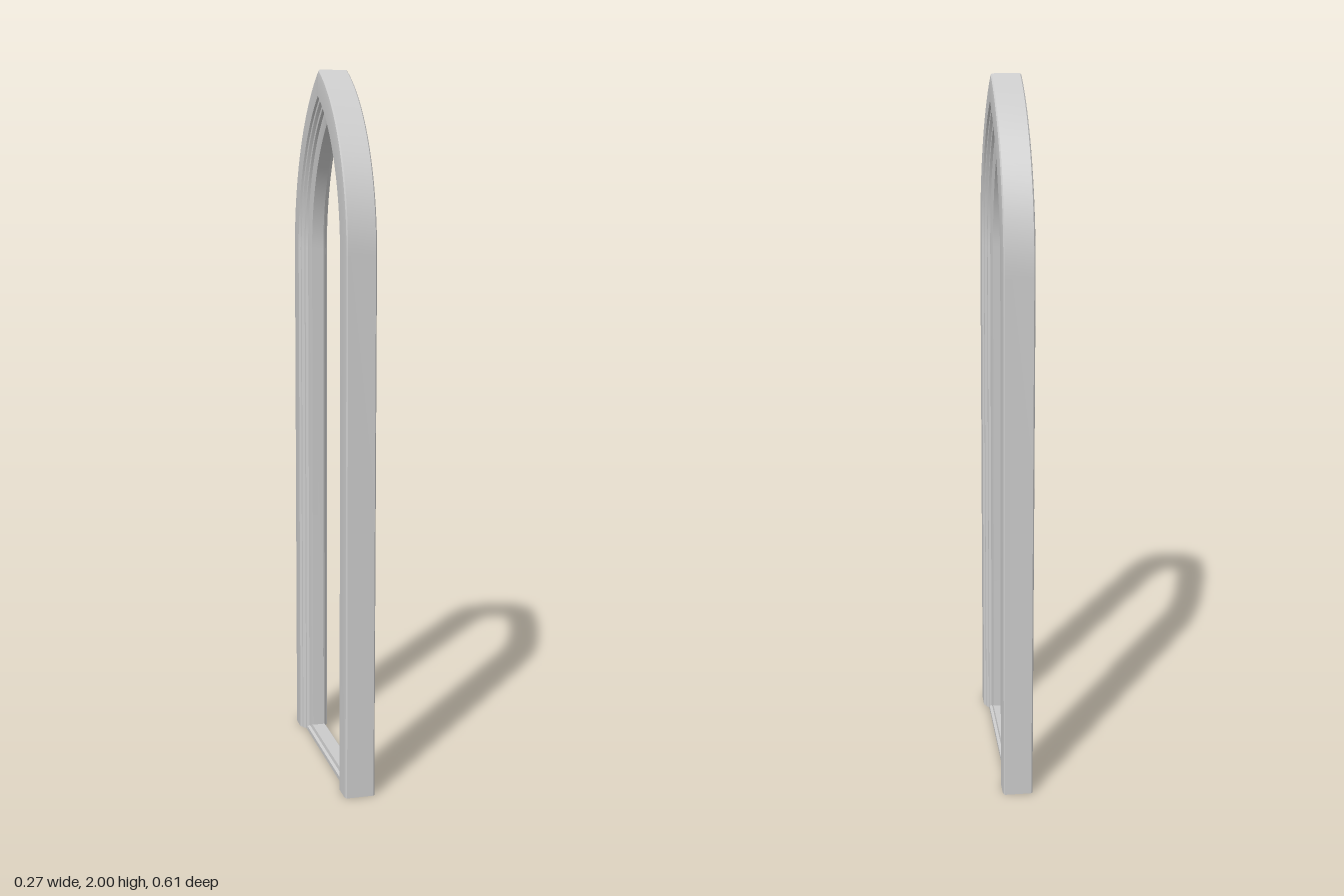
import * as THREE from 'three';
import { toCreasedNormals } from 'three/addons/utils/BufferGeometryUtils.js';

const HALF = 0.3075;   // outer half width
const SPRING = 1.5;    // height where the arch begins
const RISE = 0.5;      // arch height above the springing
const R = (HALF * HALF + RISE * RISE) / (2 * HALF);
const CX = HALF - R;   // arc centre

// Moulding section (distance from centreline, depth), front half; the back mirrors it
const front = [
  [0.3075, 0.038], [0.304, 0.0415], [0.292, 0.0435], [0.245, 0.0435], [0.241, 0.038],
  [0.233, 0.037], [0.226, 0.03], [0.217, 0.029], [0.213, 0.022], [0.199, 0.021], [0.183, 0.017],
];
const section = [...front, ...front.slice().reverse().map(([u, w]) => [u, -w])];

// One section point carried up the jamb and round the arc to the mitre at the apex
function rail([u, w], steps) {
  const r = u - CX, end = Math.acos(-CX / r);
  const pts = [new THREE.Vector3(u, 0, w)];
  for (let i = 0; i <= steps; i++) {
    const a = (end * i) / steps;
    pts.push(new THREE.Vector3(CX + r * Math.cos(a), SPRING + r * Math.sin(a), w));
  }
  return pts;
}

function halfArch() {
  const rails = section.map((p) => rail(p, 20));
  const pos = [];
  const put = (...vs) => vs.forEach((v) => pos.push(v.x, v.y, v.z));
  rails.forEach((a, j) => {
    const b = rails[(j + 1) % rails.length];
    for (let i = 0; i < a.length - 1; i++) {
      put(a[i], a[i + 1], b[i + 1], a[i], b[i + 1], b[i]);
    }
  });
  const geo = new THREE.BufferGeometry();
  geo.setAttribute('position', new THREE.Float32BufferAttribute(pos, 3));
  return toCreasedNormals(geo, 0.4);
}

export function createModel() {
  const mat = new THREE.MeshStandardMaterial({ color: 0xcccccc });
  const frame = new THREE.Group();
  frame.name = 'pointedArchFrame';
  const add = (parent, name, geo) => {
    const m = new THREE.Mesh(geo, mat);
    m.name = name;
    parent.add(m);
    return m;
  };

  // Two moulded halves; the section is symmetric, so half a turn makes the other side
  const archGeo = halfArch();
  const footGeo = new THREE.ShapeGeometry(
    new THREE.Shape(section.map(([u, w]) => new THREE.Vector2(u, w)))).rotateX(Math.PI / 2);
  ['first', 'second'].forEach((side, i) => {
    const half = new THREE.Group();
    half.name = side + 'Half';
    half.rotation.y = i * Math.PI;
    add(half, side + 'JambAndArch', archGeo);
    add(half, side + 'JambFoot', footGeo);
    frame.add(half);
  });

  // Stepped sill between the jambs
  const sill = new THREE.Shape([
    [-0.029, 0], [-0.008, 0], [-0.008, 0.008], [0.008, 0.008], [0.008, 0], [0.029, 0],
    [0.029, 0.012], [0.021, 0.015], [0.019, 0.026], [-0.019, 0.026], [-0.021, 0.015], [-0.029, 0.012],
  ].map(([x, y]) => new THREE.Vector2(x, y)));
  const sillGeo = new THREE.ExtrudeGeometry(sill, { depth: 0.42, bevelEnabled: false });
  sillGeo.translate(0, 0, -0.21).rotateY(Math.PI / 2);
  add(frame, 'sill', sillGeo);

  // The frame stands turned about the vertical axis
  frame.rotation.y = 1.244;
  const model = new THREE.Group();
  model.name = 'archedWindowFrame';
  model.add(frame);
  return model;
}
